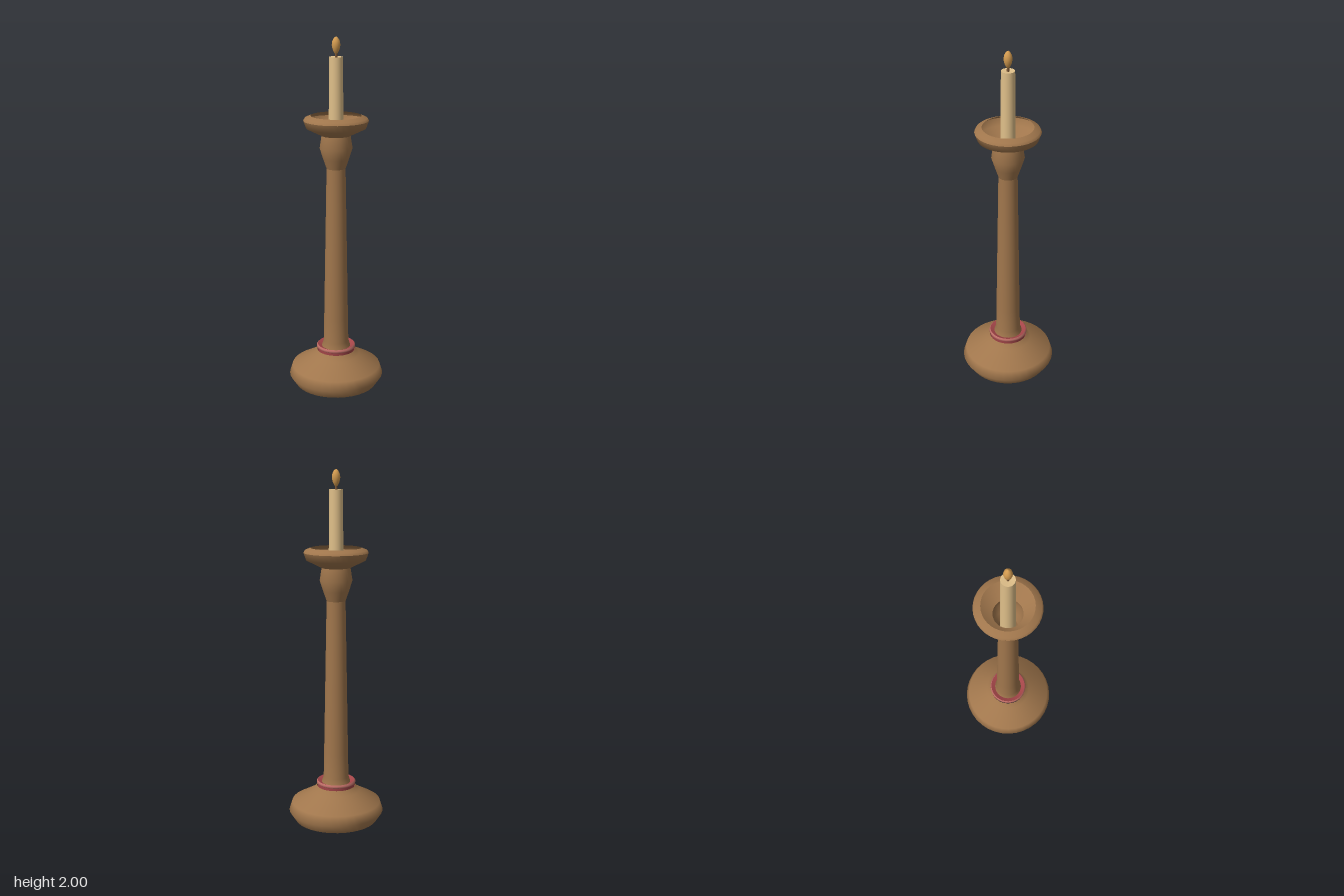
import * as THREE from 'three';

function material(name, color, side = THREE.FrontSide) {
  const m = new THREE.MeshStandardMaterial({ color, side });
  m.name = name;
  return m;
}

export function createModel() {
  const wood = material('brown wood', 0xa0764c, THREE.DoubleSide);
  const red = material('dark red', 0xa54649, THREE.DoubleSide);
  const pink = material('pale red', 0xbd6d66, THREE.DoubleSide);
  const wax = material('cream wax', 0xdfbf89);
  const fire = material('amber flame', 0xd39b50);
  const cord = material('brown wick', 0x7a5636);

  const group = new THREE.Group();
  group.name = 'candlestick';

  // Turned part from [radius, height] points, listed bottom to top
  function turned(name, points, mat, segments = 36) {
    const profile = points.map(([r, y]) => new THREE.Vector2(r, y));
    const mesh = new THREE.Mesh(new THREE.LatheGeometry(profile, segments), mat);
    mesh.name = name;
    group.add(mesh);
  }

  // Hollow foot, open underneath
  turned('base', [[0.238, 0], [0.272, 0.052], [0.255, 0.105], [0.135, 0.172], [0.11, 0.2]], wood);

  // Open sleeve inside the foot, ending in the collar
  turned('sleeve', [[0.08, 0], [0.11, 0.06], [0.11, 0.19]], red);
  turned('collarBand', [[0.104, 0.188], [0.106, 0.213]], red);
  turned('collarRim', [[0.106, 0.213], [0.112, 0.217], [0.112, 0.226], [0.106, 0.233]], pink);
  turned('collarTop', [[0.106, 0.233], [0.082, 0.222]], red);

  // Hollow tapered column with a swelling neck
  turned('column', [[0.085, 0.215], [0.072, 0.255], [0.069, 0.4], [0.053, 1.28]], wood);
  turned('neck', [[0.053, 1.28], [0.072, 1.335], [0.091, 1.395], [0.08, 1.465]], wood);

  // Drip dish: open shell with an inward-leaning rim
  turned('dish', [[0.08, 1.465], [0.165, 1.507], [0.18, 1.548]], wood);
  turned('dishRim', [[0.18, 1.548], [0.172, 1.562], [0.14, 1.575]], wood);

  // Candle, wick and flame
  turned('candle', [[0.043, 1.3], [0.037, 1.892]], wax);
  turned('candleTop', [[0.037, 1.892], [0.0001, 1.888]], wax);
  turned('candleBottom', [[0.0001, 1.3], [0.043, 1.3]], wax);
  turned('wick', [[0.007, 1.885], [0.006, 1.92]], cord, 12);
  turned('flame', [[0.0001, 1.904], [0.01, 1.912], [0.019, 1.932], [0.0235, 1.955],
    [0.02, 1.976], [0.011, 1.993], [0.0001, 2]], fire, 24);

  return group;
}
